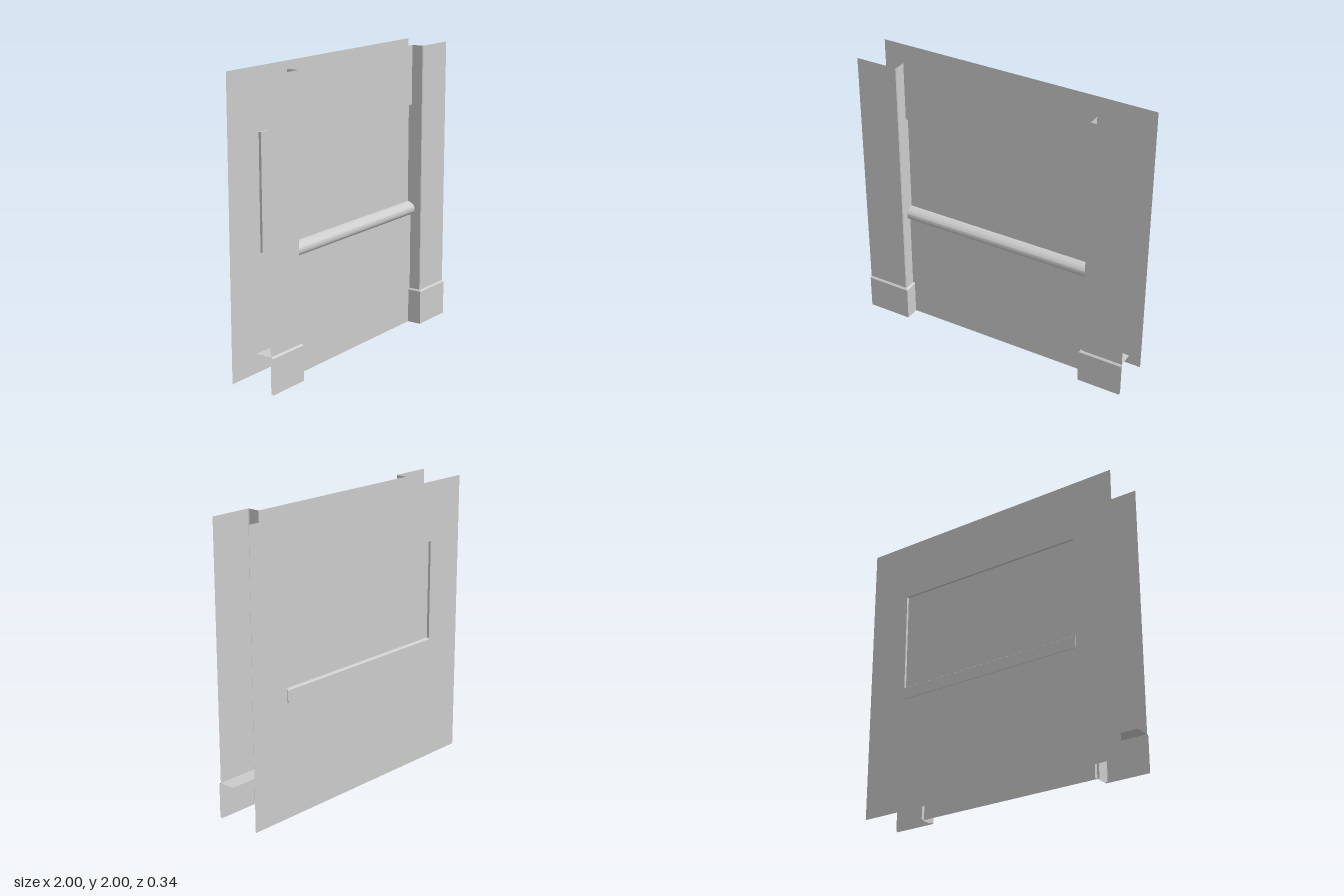
import * as THREE from 'three';
import { toCreasedNormals } from 'three/addons/utils/BufferGeometryUtils.js';

const material = new THREE.MeshStandardMaterial({ color: 0xcccccc, side: THREE.DoubleSide });
const W = 0.7;                        // half width of the window bay
const Y0 = 0.845, Y1 = 1.585;         // window bottom and top

function add(group, geometry, name) {
  const mesh = new THREE.Mesh(geometry, material);
  mesh.name = name;
  group.add(mesh);
  return mesh;
}

// Open sheet through rows of [x, y, z] points, with sharp facets
function sheet(rows) {
  const pos = [];
  for (let i = 0; i + 1 < rows.length; i++) {
    for (let j = 0; j + 1 < rows[i].length; j++) {
      const a = rows[i][j], b = rows[i][j + 1], c = rows[i + 1][j + 1], d = rows[i + 1][j];
      pos.push(...a, ...b, ...c, ...a, ...c, ...d);
    }
  }
  const g = new THREE.BufferGeometry();
  g.setAttribute('position', new THREE.Float32BufferAttribute(pos, 3));
  g.computeVertexNormals();
  return g;
}

// Solid bar running along x from a closed profile of [z, y] points
function bar(shape) {
  const g = new THREE.ExtrudeGeometry(shape, { depth: 2 * W, bevelEnabled: false, curveSegments: 8 });
  g.translate(0, 0, -W);
  g.rotateY(-Math.PI / 2);
  return toCreasedNormals(g, 0.6);
}

// Wall plane with a shallow window recess, between z and zPane
function recess(group, z, zPane, name) {
  const dir = Math.sign(z);
  const corners = [[-W, Y0], [W, Y0], [W, Y1], [-W, Y1], [-W, Y0]];
  if (dir < 0) corners.reverse();
  add(group, sheet([
    corners.map(([x, y]) => [x, y, z]),
    corners.map(([x, y]) => [x, y, zPane]),
  ]), name + 'WindowReveal');
  const pane = add(group, new THREE.PlaneGeometry(2 * W, Y1 - Y0), name + 'WindowPane');
  pane.position.set(0, (Y0 + Y1) / 2, zPane);
  if (dir < 0) pane.rotation.y = Math.PI;
}

export function createModel() {
  const model = new THREE.Group();
  model.name = 'wallSection';

  // Front wall below and above the window
  for (const [name, lo, hi] of [['frontWallLower', 0, Y0], ['frontWallUpper', Y1, 2]]) {
    const wall = add(model, new THREE.PlaneGeometry(2 * W, hi - lo), name);
    wall.position.set(0, (lo + hi) / 2, 0.067);
  }
  recess(model, 0.067, 0.043, 'front');

  // Back wall with its window opening
  const wall = new THREE.Shape([[-1, 0], [1, 0], [1, 2], [-1, 2]].map(p => new THREE.Vector2(...p)));
  wall.holes.push(new THREE.Path([[-W, Y0], [-W, Y1], [W, Y1], [W, Y0]].map(p => new THREE.Vector2(...p))));
  const back = add(model, new THREE.ShapeGeometry(wall), 'backWall');
  back.rotation.y = Math.PI;
  back.position.z = -0.162;
  recess(model, -0.162, -0.144, 'back');

  // Rounded front sill
  const sill = new THREE.Shape();
  sill.moveTo(0.043, 0.8);
  sill.lineTo(0.075, 0.8);
  sill.quadraticCurveTo(0.102, 0.81, 0.102, 0.842);
  sill.quadraticCurveTo(0.102, 0.87, 0.056, 0.888);
  sill.lineTo(0.043, 0.89);
  add(model, bar(sill), 'frontSill');

  // Thin back sill
  const ledge = new THREE.Shape();
  ledge.moveTo(-0.144, 0.8);
  ledge.lineTo(-0.144, 0.89);
  ledge.lineTo(-0.155, 0.89);
  ledge.lineTo(-0.168, 0.882);
  ledge.lineTo(-0.168, 0.8);
  add(model, bar(ledge), 'backSill');

  // Hollow pilasters and their plinths, open to the outside and the back
  for (const [s, side] of [[1, 'left'], [-1, 'right']]) {
    const order = rows => (s > 0 ? rows.reverse() : rows);
    const plan = (pts, y) => pts.map(([x, z]) => [s * x, y, z]);

    const shaft = [[1, 0.154], [W + 0.005, 0.154], [W, 0.149], [W, 0.067]];
    add(model, sheet(order([plan(shaft, 0), plan(shaft, 2)])), side + 'Pilaster');

    const outer = [[1, 0.168], [0.685, 0.168], [0.685, 0.042]];
    const inset = [[1, 0.158], [0.695, 0.158], [0.695, 0.042]];
    const rim = [[1, 0.042], [1, 0.042], [0.695, 0.042]];
    add(model, sheet(order([
      plan(outer, 0), plan(outer, 0.24), plan(inset, 0.25), plan(rim, 0.25),
    ])), side + 'Plinth');
  }
  return model;
}
